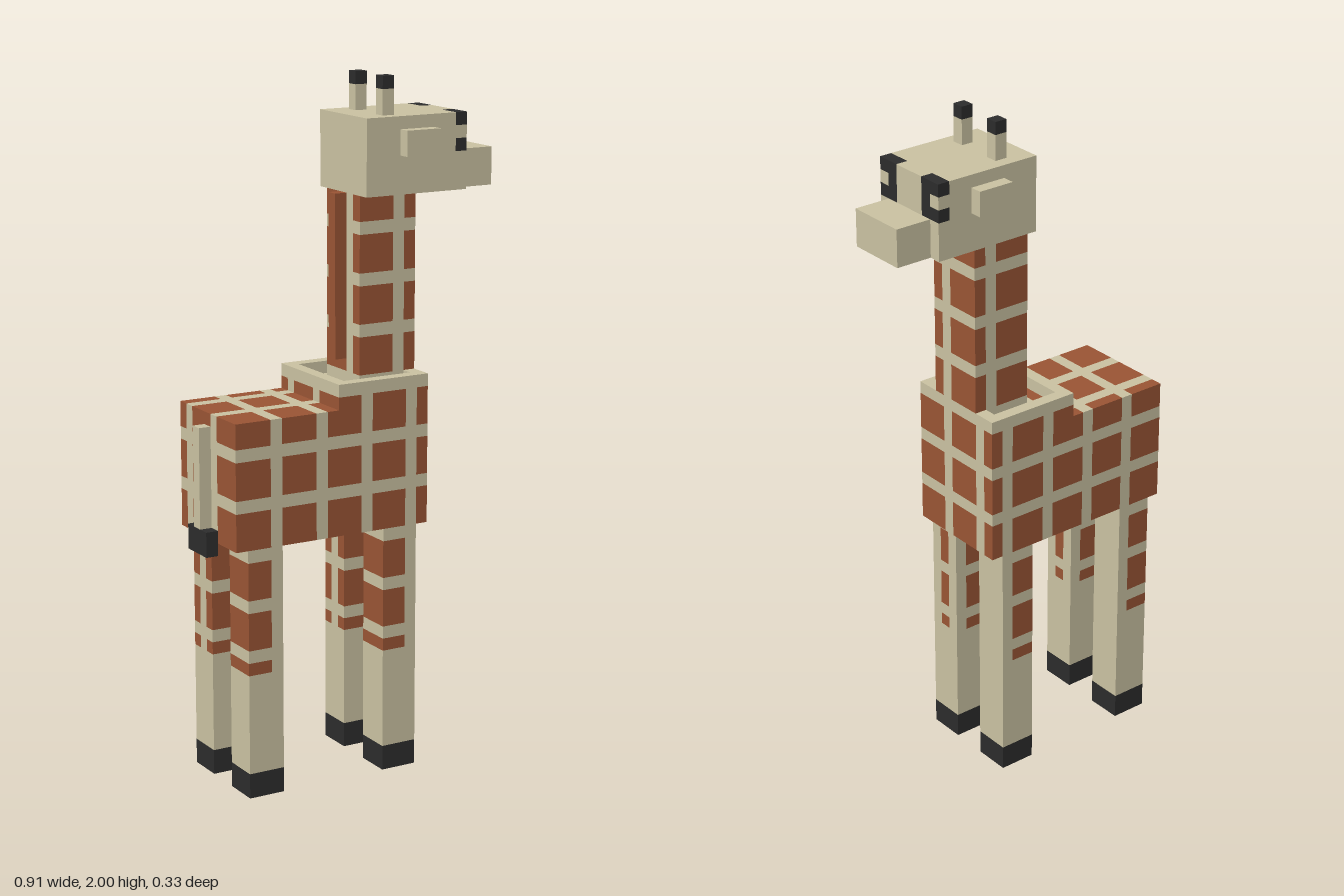
import * as THREE from 'three';

const UNIT = 2 / 55; // one block cell
const mod4 = (n) => ((n % 4) + 4) % 4;
const CREAM = 0, BROWN = 1, DARK = 2;

// Coat: cells in a regular lattice, three brown then one cream, along every axis.
// Arguments are cell centres, in units.
const coat = (x, y, z) =>
  mod4(Math.floor(x + 11.5)) === 3 || mod4(Math.floor(y)) === 3 ||
  mod4(Math.floor(z + 4.5)) === 1 || false
    ? CREAM : BROWN;
// the cross-body bands sit at z = -3.5..-2.5 and z = 0.5..1.5

// Legs: dark hoof, plain shin, patterned thigh.
const legCoat = (x, y, z, n) => {
  if (y < 2) return DARK;
  if (y < 10) return CREAM;
  if (n.x > 0.5) return z > 2.5 && z < 3.5 && mod4(Math.floor(y)) !== 3 ? BROWN : CREAM;
  return coat(x, y, z);
};

// Head: dark eye rims wrapping the front corners, with a pale cell inside.
const headCoat = (x, y, z) => {
  const side = Math.abs(z);
  const eye = x > 8.5 && y > 49 && side > 1.5;
  const pale = side > 2.5 && y > 50 && y < 51;
  return eye && !pale ? DARK : CREAM;
};

export function createModel() {
  const material = (name, color) => {
    const m = new THREE.MeshStandardMaterial({ color });
    m.name = name;
    return m;
  };
  const materials = [
    material('cream', 0xc9c1a1),
    material('brown', 0x995434),
    material('dark', 0x2c2c2c),
  ];
  const model = new THREE.Group();
  model.name = 'giraffe';

  // Box between two corners; paint is a colour index or a rule for each cell.
  function block(name, [x0, y0, z0], [x1, y1, z1], paint) {
    const [w, h, d] = [x1 - x0, y1 - y0, z1 - z0];
    const perCell = typeof paint === 'function';
    const geo = perCell
      ? new THREE.BoxGeometry(w, h, d, w, h, d)
      : new THREE.BoxGeometry(w, h, d);
    geo.translate((x0 + x1) / 2, (y0 + y1) / 2, (z0 + z1) / 2);
    if (perCell) {
      // sort the cell faces into one geometry group per colour
      const pos = geo.attributes.position, nor = geo.attributes.normal;
      const old = geo.index.array, buckets = [[], [], []];
      const a = new THREE.Vector3(), b = new THREE.Vector3(), n = new THREE.Vector3();
      for (let i = 0; i < old.length; i += 6) {
        const quad = Array.from(old.slice(i, i + 6));
        n.fromBufferAttribute(nor, quad[0]);
        a.fromBufferAttribute(pos, quad[1]);
        b.fromBufferAttribute(pos, quad[5]);
        a.add(b).multiplyScalar(0.5).addScaledVector(n, -0.5);
        buckets[paint(a.x, a.y, a.z, n)].push(...quad);
      }
      geo.setIndex(buckets.flat());
      geo.clearGroups();
      let start = 0;
      buckets.forEach((list, k) => {
        if (list.length) geo.addGroup(start, list.length, k);
        start += list.length;
      });
    }
    geo.scale(UNIT, UNIT, UNIT);
    const mesh = new THREE.Mesh(geo, perCell ? materials : materials[paint]);
    mesh.name = name;
    model.add(mesh);
  }

  // Body, with a shallow raised rim around the base of the neck
  block('hindBody', [-11.5, 20, -4.5], [-2.5, 30, 4.5], coat);
  block('shoulders', [-2.5, 20, -4.5], [5.5, 31, 4.5], coat);
  block('shoulderRimBack', [-2.5, 31, -4.5], [-1.5, 32, 4.5], CREAM);
  block('shoulderRimFront', [4.5, 31, -3.5], [5.5, 32, 3.5], CREAM);
  block('shoulderRimLeft', [-1.5, 31, 3.5], [5.5, 32, 4.5], CREAM);
  block('shoulderRimRight', [-1.5, 31, -4.5], [5.5, 32, -3.5], CREAM);

  // Neck and mane
  block('neck', [0.5, 31, -2.5], [5.5, 46, 2.5], coat);
  block('mane', [-0.5, 33, -0.5], [0.5, 46, 0.5], BROWN);

  // Head
  block('head', [0.5, 46, -3.5], [9.5, 52, 3.5], headCoat);
  block('snout', [9.5, 46, -2.5], [12.5, 49, 2.5], CREAM);
  for (const s of [-1, 1]) {
    const e = 4 * s, h = 2 * s;
    block('ear', [3.5, 49, e - 0.5], [6.5, 51, e + 0.5], CREAM);
    block('horn', [2.5, 52, h - 0.5], [3.5, 54, h + 0.5], CREAM);
    block('hornTip', [2.5, 54, h - 0.5], [3.5, 55, h + 0.5], DARK);
  }

  // Legs with hooves
  for (const [name, x] of [['hindLeg', -10.5], ['frontLeg', 1.5]])
    for (const z of [-4.5, 1.5])
      block(name, [x, 0, z], [x + 3, 20, z + 3], legCoat);

  // Tail
  block('tail', [-12.5, 21, -0.5], [-11.5, 29, 0.5], CREAM);
  block('tailTuft', [-12.5, 19, -1.5], [-11.5, 21, 1.5], DARK);

  return model;
}
